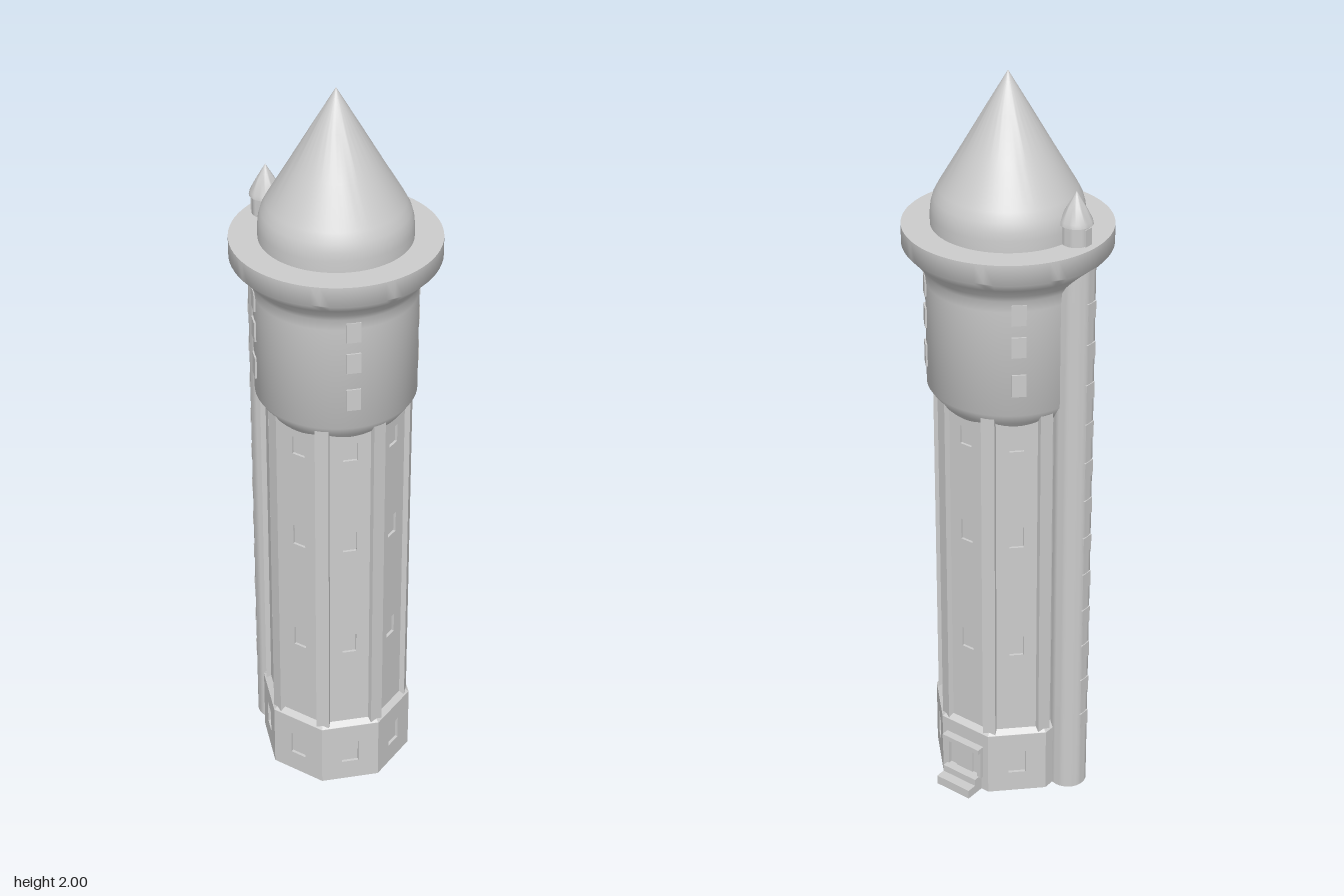
import * as THREE from 'three';
import { toCreasedNormals } from 'three/addons/utils/BufferGeometryUtils.js';

const stone = new THREE.MeshStandardMaterial({ color: 0xcccccc });
stone.name = 'pale grey stone';
const TAN = Math.tan(Math.PI / 8), COS = Math.cos(Math.PI / 8);

export function createModel() {
  const model = new THREE.Group();
  model.name = 'waterTower';

  const add = (parent, name, geometry, x = 0, y = 0, z = 0) => {
    const mesh = new THREE.Mesh(geometry, stone);
    mesh.name = name;
    mesh.position.set(x, y, z);
    parent.add(mesh);
    return mesh;
  };
  const box = (parent, name, w, h, d, x, y, z) =>
    add(parent, name, new THREE.BoxGeometry(w, h, d), x, y, z);
  // Group whose +z points outwards at the given angle
  const facing = (name, angle) => {
    const g = new THREE.Group();
    g.name = name;
    g.rotation.y = angle;
    model.add(g);
    return g;
  };
  // Eight-sided prism or frustum given by its flat-to-centre distances
  const octagon = (name, bottom, top, y0, y1) => {
    const g = new THREE.CylinderGeometry(top / COS, bottom / COS, y1 - y0, 8);
    g.rotateY(Math.PI / 8);
    add(model, name, toCreasedNormals(g, 0.3), 0, (y0 + y1) / 2, 0);
  };
  const lathe = (parent, name, points, segments = 72, x = 0, z = 0, crease = 0.75) =>
    add(parent, name, toCreasedNormals(new THREE.LatheGeometry(
      points.map(p => new THREE.Vector2(...p)), segments), crease), x, 0, z);
  // Flat wall of the octagon, pierced by windows [centre y, width, height]
  const wall = (parent, name, apothem, y0, y1, depth, windows) => {
    const w = apothem * TAN;
    const rect = (path, hw, a, b) =>
      path.moveTo(-hw, a).lineTo(hw, a).lineTo(hw, b).lineTo(-hw, b).closePath();
    const shape = rect(new THREE.Shape(), w, y0, y1);
    for (const [y, ww, h] of windows)
      shape.holes.push(rect(new THREE.Path(), ww / 2, y - h / 2, y + h / 2));
    add(parent, name, new THREE.ExtrudeGeometry(shape, { depth, bevelEnabled: false }),
      0, 0, apothem - depth);
  };

  // Octagonal cores behind the window openings, and the sloped plinth top
  octagon('baseCore', 0.182, 0.182, 0, 0.184);
  octagon('plinthSlope', 0.19, 0.174, 0.184, 0.197);
  octagon('shaftCore', 0.167, 0.167, 0.18, 1.18);

  const DOOR = 3, STAIR = 5;
  for (let i = 0; i < 8; i++) {
    const face = facing('face' + i, i * Math.PI / 4);
    const plain = i === STAIR;
    wall(face, 'baseWall', 0.19, 0, 0.185, 0.01,
      plain || i === DOOR ? [] : [[0.094, 0.046, 0.068]]);
    wall(face, 'shaftWall', 0.174, 0.19, 1.175, 0.009, plain ? [] :
      [[0.464, 0.037, 0.058], [0.80, 0.037, 0.06], [1.08, 0.037, 0.052]]);
    // Corner pilaster
    const corner = facing('corner' + i, (i + 0.5) * Math.PI / 4);
    box(corner, 'pilaster', 0.035, 1.0, 0.04, 0, 0.68, 0.175);
  }

  // Round tank drum with its flared parapet
  lathe(model, 'tankDrum', [[0, 1.12], [0.168, 1.12], [0.186, 1.143], [0.207, 1.175],
    [0.207, 1.46], [0.21, 1.49], [0.22, 1.508], [0.24, 1.532], [0.262, 1.556],
    [0.264, 1.56], [0.264, 1.61], [0, 1.61]]);

  // Drum windows, three on each main axis
  for (let i = 0; i < 4; i++) {
    const side = facing('drumWindows' + i, i * Math.PI / 2);
    for (const [y, h] of [[1.26, 0.06], [1.365, 0.055], [1.452, 0.055]])
      box(side, 'drumWindow', 0.037, h, 0.009, 0, y, 0.2065);
  }

  // Pointed roof
  lathe(model, 'roof', [[0.192, 1.605], [0.192, 1.64], [0.19, 1.66], [0.184, 1.682],
    [0.172, 1.705], [0.115, 1.802], [0.055, 1.906], [0, 2]]);

  // Round stair tower against the back corner face
  const stair = facing('stairTower', STAIR * Math.PI / 4);
  const R = 0.207;
  lathe(stair, 'stairShaft', [[0, 0], [0.05, 0], [0.05, 1.58], [0, 1.58]], 40, 0, R);
  for (let i = 0; i < 12; i++)
    box(stair, 'stairWindow', 0.033, 0.045, 0.012, 0, 0.216 + i * 0.1113, R + 0.046);
  // Small lookout on the parapet, where the stair comes out
  lathe(stair, 'lookout', [[0.036, 1.605], [0.036, 1.665], [0, 1.665]], 32, 0, R);
  lathe(stair, 'lookoutRoof', [[0, 1.66], [0.042, 1.66], [0.04, 1.67], [0.022, 1.705], [0, 1.743]],
    32, 0, R);
  box(stair, 'lookoutDoor', 0.024, 0.045, 0.008, 0, 1.632, R + 0.034);

  // Entrance with steps, door, surround and canopy
  const entry = facing('entrance', DOOR * Math.PI / 4);
  box(entry, 'lowerStep', 0.11, 0.026, 0.066, 0, 0.013, 0.213);
  box(entry, 'upperStep', 0.11, 0.046, 0.038, 0, 0.023, 0.199);
  box(entry, 'door', 0.056, 0.075, 0.008, 0, 0.083, 0.19);
  box(entry, 'canopy', 0.124, 0.014, 0.032, 0, 0.137, 0.196);
  for (const s of [-1, 1])
    box(entry, 'doorJamb', 0.012, 0.09, 0.02, s * 0.055, 0.088, 0.191);

  return model;
}
